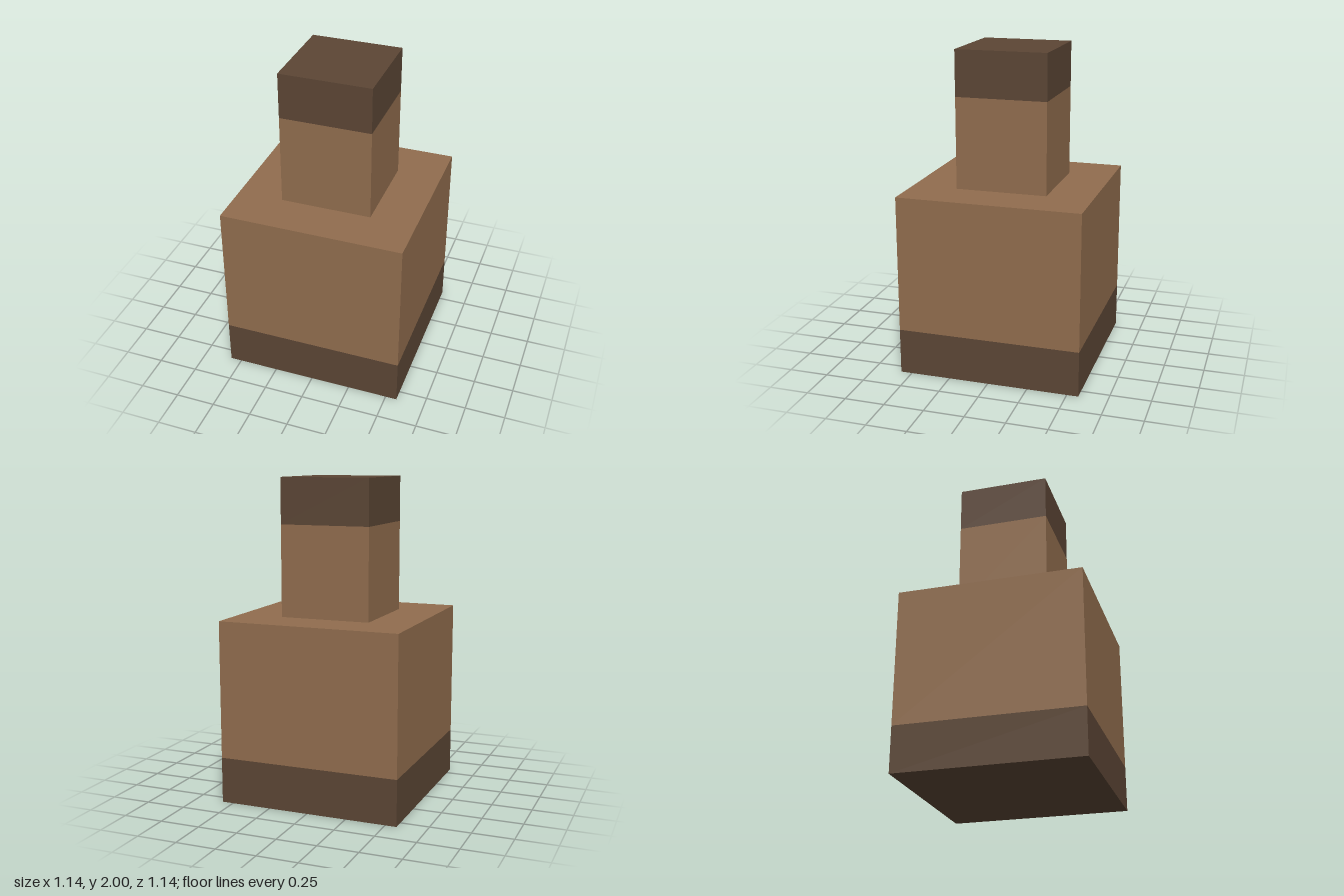
import * as THREE from 'three';

// Every dimension is a multiple of one block unit; the model is seven units tall.
const UNIT = 2 / 7;

export function createModel() {
  const model = new THREE.Group();
  model.name = 'steppedPost';

  const lightBrown = new THREE.MeshStandardMaterial({ color: 0x916d4e });
  lightBrown.name = 'lightBrown';
  const darkBrown = new THREE.MeshStandardMaterial({ color: 0x5c4635 });
  darkBrown.name = 'darkBrown';

  // Square blocks stacked from the ground up: name, width, height, material.
  const blocks = [
    ['baseBand', 4, 1, darkBrown],
    ['body', 4, 3, lightBrown],
    ['neck', 2, 2, lightBrown],
    ['cap', 2, 1, darkBrown],
  ];

  let bottom = 0;
  for (const [name, width, height, material] of blocks) {
    const w = width * UNIT;
    const h = height * UNIT;
    const block = new THREE.Mesh(new THREE.BoxGeometry(w, h, w), material);
    block.name = name;
    block.position.y = bottom + h / 2;
    model.add(block);
    bottom += h;
  }

  return model;
}
